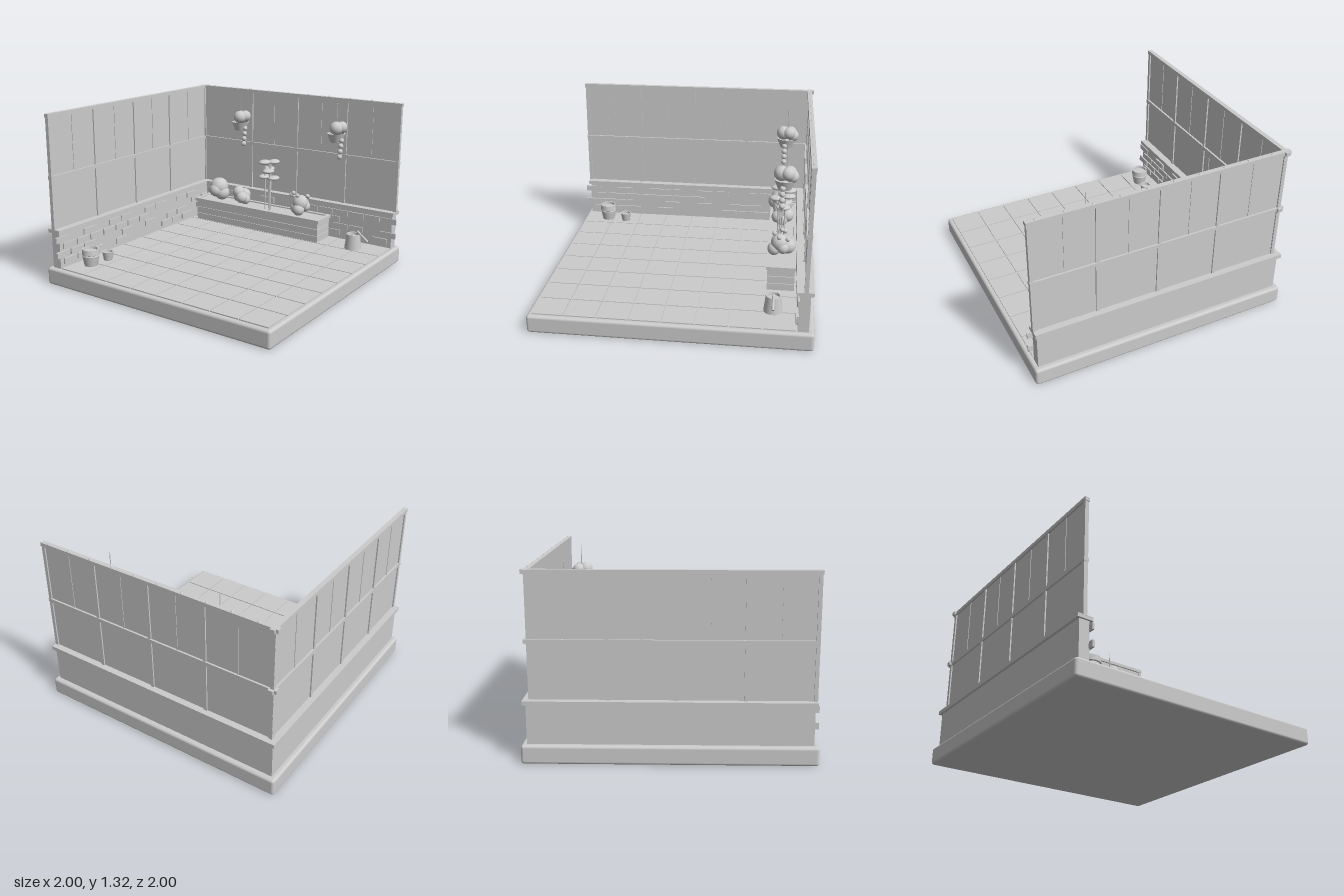
import * as THREE from 'three';
import { RoundedBoxGeometry } from 'three/addons/geometries/RoundedBoxGeometry.js';

const grey = new THREE.MeshStandardMaterial({ color: 0xcccccc });
grey.name = 'plain grey';
const greyOpen = new THREE.MeshStandardMaterial({ color: 0xcccccc, side: THREE.DoubleSide });
greyOpen.name = 'plain grey open';

function add(parent, name, geometry, x = 0, y = 0, z = 0, material = grey) {
  const mesh = new THREE.Mesh(geometry, material);
  mesh.name = name;
  mesh.position.set(x, y, z);
  parent.add(mesh);
  return mesh;
}

// box given by its limits on each axis
function box(parent, name, x0, x1, y0, y1, z0, z1) {
  return add(parent, name, new THREE.BoxGeometry(x1 - x0, y1 - y0, z1 - z0),
    (x0 + x1) / 2, (y0 + y1) / 2, (z0 + z1) / 2);
}

function ball(parent, name, x, y, z, r) {
  return add(parent, name, new THREE.SphereGeometry(r, 20, 14), x, y, z);
}

function group(parent, name) {
  const g = new THREE.Group();
  g.name = name;
  parent.add(g);
  return g;
}

function seeded(seed) {
  return () => (seed = (seed * 16807) % 2147483647) / 2147483647;
}

// open vessel with a wall thickness, from an outer profile
function vessel(parent, name, outer, x, z) {
  const top = outer[outer.length - 1];
  const points = [[0, outer[0][1]], ...outer, [top[0] - 0.01, top[1]], [top[0] - 0.012, top[1] - 0.02], [0, top[1] - 0.02]];
  // doubled corner points keep the edges crisp
  const crisp = points.flatMap(([r, y]) => [new THREE.Vector2(r, y), new THREE.Vector2(r, y + 1e-4)]);
  return add(parent, name, new THREE.LatheGeometry(crisp, 28), x, 0, z, greyOpen);
}

// s runs along the wall, d is depth; the left wall swaps the two
function buildWall(root, name, isLeft, seed) {
  const wall = group(root, name);
  const part = (label, s0, s1, y0, y1, d0, d1) => isLeft
    ? box(wall, label, d0, d1, y0, y1, s0, s1)
    : box(wall, label, s0, s1, y0, y1, d0, d1);

  part('lowerWall', -0.962, 0.957, 0.13, 0.41, -0.962, -0.885);
  part('ledge', -0.983, 0.972, 0.408, 0.436, -0.983, -0.868);
  part('middleRail', -0.965, 0.975, 0.82, 0.848, -0.948, -0.91);
  part('topRail', -0.965, 0.978, 1.28, 1.308, -0.948, -0.912);

  // posts, thin upper bars and panes between them
  const posts = [-0.93, -0.415, 0.04, 0.5, 0.96];
  posts.forEach((s, i) => {
    part('post', s - 0.013, s + 0.013, 0.43, 1.29, -0.944, -0.915);
    if (i === 4) return;
    const next = posts[i + 1], mid = (s + next) / 2;
    part('upperBar', mid - 0.006, mid + 0.006, 0.84, 1.285, -0.938, -0.922);
    part('lowerPane', s, next, 0.43, 0.83, -0.934, -0.926);
    part('upperPane', s, next, 0.83, 1.29, -0.934, -0.926);
  });

  // scattered raised bricks in staggered rows
  const random = seeded(seed);
  for (let row = 0; row < 4; row++) {
    const y = 0.362 - row * 0.0585;
    const end = row % 2 === 0 ? 0.995 : 0.925;
    for (let k = 0; k < 13; k++) {
      const s = end - k * 0.143;
      if (k === 0 && row % 2 === 0 || random() < 0.6) {
        part('brick', s - 0.13, s, y - 0.023, y + 0.023, -0.89, -0.877 + random() * 0.006);
      }
    }
  }
}

export function createModel() {
  const root = new THREE.Group();
  root.name = 'greenhouseCorner';

  // base slab and floor tiles
  add(root, 'base', new RoundedBoxGeometry(1.99, 0.132, 1.99, 3, 0.02), -0.005, 0.066, -0.005);
  const floor = group(root, 'floor');
  for (let i = 0; i < 8; i++) {
    for (let j = 0; j < 8; j++) {
      const x = -0.88 + i * 0.23, z = -0.88 + j * 0.23;
      box(floor, 'tile', x + 0.004, x + 0.226, 0.128, 0.14, z + 0.004, z + 0.226);
    }
  }

  buildWall(root, 'backWall', false, 71);
  buildWall(root, 'leftWall', true, 523);

  // bolts along the back top rail
  for (let i = 0; i < 10; i++) ball(root, 'bolt', -0.82 + i * 0.192, 1.305, -0.933, 0.011);

  // planter with boards, rim and soil
  const planter = group(root, 'planter');
  box(planter, 'core', -0.81, 0.395, 0.14, 0.3, -0.85, -0.668);
  for (const [y0, y1] of [[0.14, 0.192], [0.196, 0.25], [0.254, 0.308]]) {
    box(planter, 'board', -0.822, 0.405, y0, y1, -0.86, -0.66);
  }
  box(planter, 'rimFront', -0.838, 0.416, 0.306, 0.33, -0.68, -0.65);
  box(planter, 'rimBack', -0.838, 0.416, 0.306, 0.33, -0.868, -0.845);
  box(planter, 'rimLeft', -0.838, -0.81, 0.306, 0.33, -0.868, -0.65);
  box(planter, 'rimRight', 0.386, 0.416, 0.306, 0.33, -0.868, -0.65);
  box(planter, 'soil', -0.82, 0.4, 0.29, 0.32, -0.85, -0.67);

  // leafy bushes in the planter
  const bushes = {
    largeBush: [[-0.63, 0.45, -0.73, 0.08], [-0.695, 0.41, -0.745, 0.053], [-0.6, 0.4, -0.73, 0.065],
      [-0.635, 0.425, -0.69, 0.06], [-0.645, 0.4, -0.78, 0.056]],
    smallBush: [[-0.42, 0.43, -0.73, 0.052], [-0.38, 0.39, -0.715, 0.05], [-0.4, 0.4, -0.79, 0.055],
      [-0.365, 0.37, -0.75, 0.045], [-0.44, 0.38, -0.76, 0.045]],
    berryBush: [[0.195, 0.43, -0.74, 0.066], [0.155, 0.38, -0.745, 0.05], [0.18, 0.4, -0.8, 0.06],
      [0.2, 0.38, -0.7, 0.05], [0.225, 0.4, -0.765, 0.045]],
  };
  for (const [name, balls] of Object.entries(bushes)) {
    const bush = group(root, name);
    balls.forEach(b => ball(bush, 'foliage', ...b));
  }
  const berryBush = root.getObjectByName('berryBush');
  for (const [x, y, z] of [[0.085, 0.475, -0.78], [0.12, 0.5, -0.755], [0.19, 0.5, -0.7],
    [0.265, 0.5, -0.735], [0.235, 0.475, -0.8]]) ball(berryBush, 'berry', x, y, z, 0.018);

  // tall stalks carrying flat leaf pads
  const tall = group(root, 'tallPlant');
  for (const [x, z] of [[-0.15, -0.735], [-0.135, -0.77], [-0.105, -0.75], [-0.095, -0.72]]) {
    add(tall, 'stalk', new THREE.CylinderGeometry(0.006, 0.006, 0.42, 8), x, 0.53, z);
  }
  for (const [x, y, z] of [[-0.145, 0.737, -0.715], [-0.1, 0.733, -0.79], [-0.15, 0.667, -0.79],
    [-0.1, 0.667, -0.705], [-0.17, 0.6, -0.755], [-0.08, 0.6, -0.755]]) {
    ball(tall, 'leafPad', x, y, z, 0.05).scale.set(0.95, 0.4, 1.15);
  }

  // hanging baskets with trailing vines
  for (const x of [-0.42, 0.5]) {
    const basket = group(root, 'hangingBasket');
    vessel(basket, 'basket', [[0.047, 0.98], [0.073, 1.05]], x, -0.755);
    add(basket, 'string', new THREE.CylinderGeometry(0.003, 0.003, 0.22, 6), x, 1.18, -0.765);
    for (const [dx, y, z, r] of [[0.01, 1.095, -0.73, 0.053], [-0.015, 1.09, -0.785, 0.05],
      [0.035, 1.1, -0.775, 0.047], [0.01, 1.075, -0.805, 0.045]]) ball(basket, 'foliage', x + dx, y, z, r);
    for (let i = 0; i < 4; i++) ball(basket, 'vine', x + 0.054 - i * 0.004, 1 - i * 0.045, -0.742, 0.021);
  }

  // floor pots
  vessel(root, 'largePot', [[0.05, 0.14], [0.064, 0.215], [0.06, 0.225], [0.067, 0.23], [0.064, 0.27]], -0.75, 0.775);
  vessel(root, 'smallPot', [[0.033, 0.14], [0.045, 0.207]], -0.725, 0.615);

  // watering can
  const can = group(root, 'wateringCan');
  vessel(can, 'canBody', [[0.068, 0.14], [0.054, 0.26]], 0.705, -0.715);
  add(can, 'spout', new THREE.CylinderGeometry(0.009, 0.009, 0.12, 10), 0.786, 0.25, -0.715).rotation.z = 0.9;

  return root;
}
